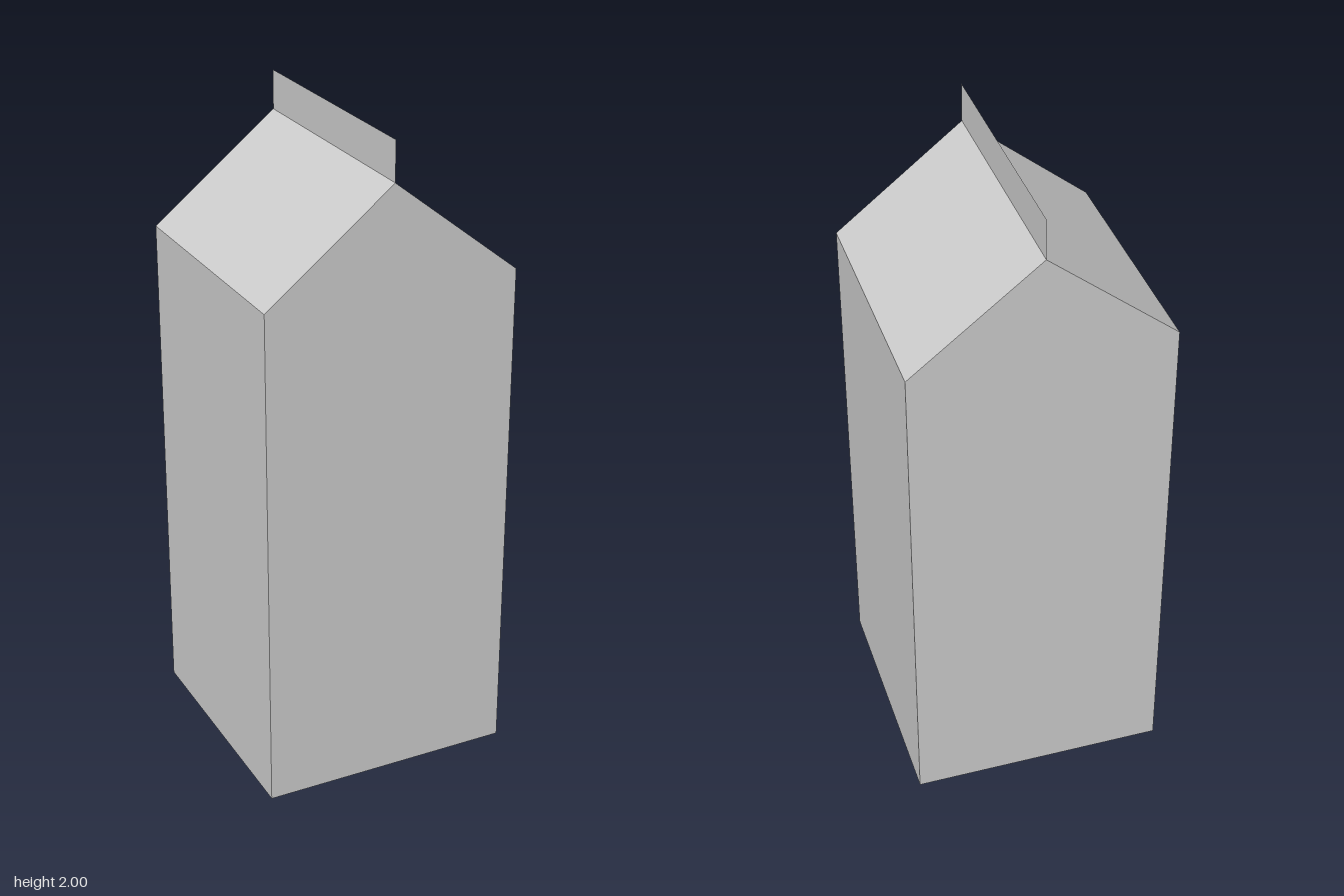
import * as THREE from 'three';

const HALF = 0.391;   // half width and half depth of the carton
const WALL = 1.57;    // height of the straight walls
const RIDGE = 1.88;   // height of the roof ridge
const TOP = 2;        // top of the sealing fin

export function createModel() {
  const carton = new THREE.Group();
  carton.name = 'milkCarton';
  const material = new THREE.MeshStandardMaterial({
    color: 0xcccccc, flatShading: true, side: THREE.DoubleSide,
  });

  const add = (name, geometry, y = 0, z = 0) => {
    const mesh = new THREE.Mesh(geometry, material);
    mesh.name = name;
    mesh.position.set(0, y, z);
    carton.add(mesh);
  };

  // Square straight-walled body
  add('body', new THREE.BoxGeometry(2 * HALF, WALL, 2 * HALF), WALL / 2);

  // Gabled roof with its ridge running front to back
  const gable = new THREE.Shape([
    new THREE.Vector2(-HALF, 0),
    new THREE.Vector2(HALF, 0),
    new THREE.Vector2(0, RIDGE - WALL),
  ]);
  add('gableRoof', new THREE.ExtrudeGeometry(gable, { depth: 2 * HALF, bevelEnabled: false }), WALL, -HALF);

  // Paper-thin sealed fin standing on the ridge
  const fin = new THREE.PlaneGeometry(2 * HALF, TOP - RIDGE).rotateY(Math.PI / 2);
  add('sealingFin', fin, (RIDGE + TOP) / 2);

  return carton;
}
